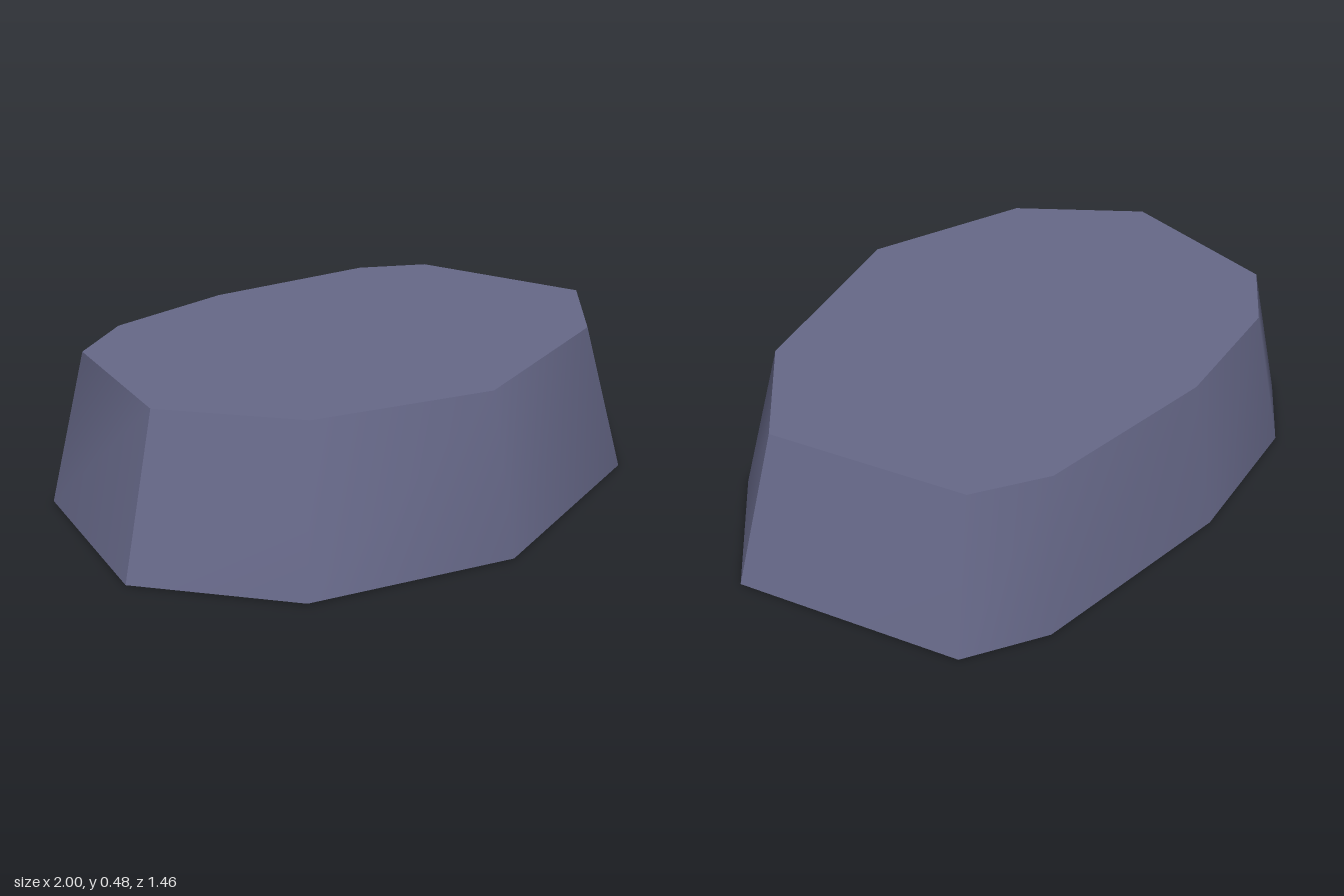
import * as THREE from 'three';

const HEIGHT = 0.48;
const LIFT = 0.003; // gap between the underside and its thin patches

// Matching corner rings as [x, z], starting at the right-hand corner and running round the back
const BASE = [[-1, 0.14], [-0.87, -0.48], [-0.62, -0.65], [-0.12, -0.73], [0.57, -0.67],
  [0.81, -0.54], [1, 0.14], [0.67, 0.49], [-0.08, 0.73], [-0.69, 0.55]];
const RIM = [[-0.87, 0.11], [-0.76, -0.43], [-0.54, -0.58], [-0.10, -0.65], [0.49, -0.60],
  [0.70, -0.48], [0.86, 0.11], [0.57, 0.41], [-0.07, 0.62], [-0.60, 0.46]];

// Smooth wall strip between two sharp corners
function wallStrip(from, to) {
  const positions = [], index = [];
  for (let i = from; i <= to; i++) {
    const k = i % BASE.length;
    positions.push(BASE[k][0], LIFT, BASE[k][1], RIM[k][0], HEIGHT, RIM[k][1]);
    if (i < to) {
      const a = (i - from) * 2;
      index.push(a + 2, a, a + 1, a + 2, a + 1, a + 3);
    }
  }
  const g = new THREE.BufferGeometry();
  g.setAttribute('position', new THREE.Float32BufferAttribute(positions, 3));
  g.setIndex(index);
  g.computeVertexNormals();
  return g;
}

// Flat polygon at height y, facing up (side = 1) or down (side = -1)
function flat(points, y, side) {
  const shape = new THREE.Shape(points.map(([x, z]) => new THREE.Vector2(x, -side * z)));
  return new THREE.ShapeGeometry(shape).rotateX(-side * Math.PI / 2).translate(0, y, 0);
}

// Rounded outline through a few points
function rounded(points) {
  const curve = new THREE.CatmullRomCurve3(points.map(([x, z]) => new THREE.Vector3(x, 0, z)), true);
  return curve.getPoints(32).slice(0, -1).map((p) => [p.x, p.z]);
}

function disc(cx, cz, r) {
  return Array.from({ length: 14 }, (_, i) => {
    const a = (i / 14) * Math.PI * 2;
    return [cx + r * Math.cos(a), cz + r * Math.sin(a)];
  });
}

export function createModel() {
  const group = new THREE.Group();
  group.name = 'stoneSlab';

  const stone = new THREE.MeshStandardMaterial({ color: 0x666888 });
  stone.name = 'slate stone';
  const teal = new THREE.MeshStandardMaterial({ color: 0x92b8c4 });
  teal.name = 'pale teal';

  const add = (name, geometry, material) => {
    const mesh = new THREE.Mesh(geometry, material);
    mesh.name = name;
    group.add(mesh);
  };

  // Sloping sides, split at the three sharp corners
  add('backWall', wallStrip(0, 5), stone);
  add('leftWall', wallStrip(5, 6), stone);
  add('frontWall', wallStrip(6, 10), stone);

  // Flat top and underside
  add('topFace', flat(RIM, HEIGHT, 1), stone);
  add('underside', flat(BASE, LIFT, -1), stone);

  // Pale patches on the underside
  const patches = [
    rounded([[-0.13, 0.46], [-0.13, 0.37], [-0.25, 0.25], [-0.32, 0.31], [-0.305, 0.41], [-0.25, 0.53], [-0.19, 0.51]]),
    disc(-0.316, 0.221, 0.053),
    disc(-0.338, 0.096, 0.042),
    [[-0.26, 0.67], [-0.255, 0.62], [-0.273, 0.575], [-0.32, 0.535], [-0.365, 0.512],
      [-0.42, 0.512], [-0.477, 0.533], [-0.52, 0.558], [-0.55, 0.59]],
  ];
  patches.forEach((p, i) => add(`undersidePatch${i + 1}`, flat(p, 0, -1), teal));

  return group;
}
